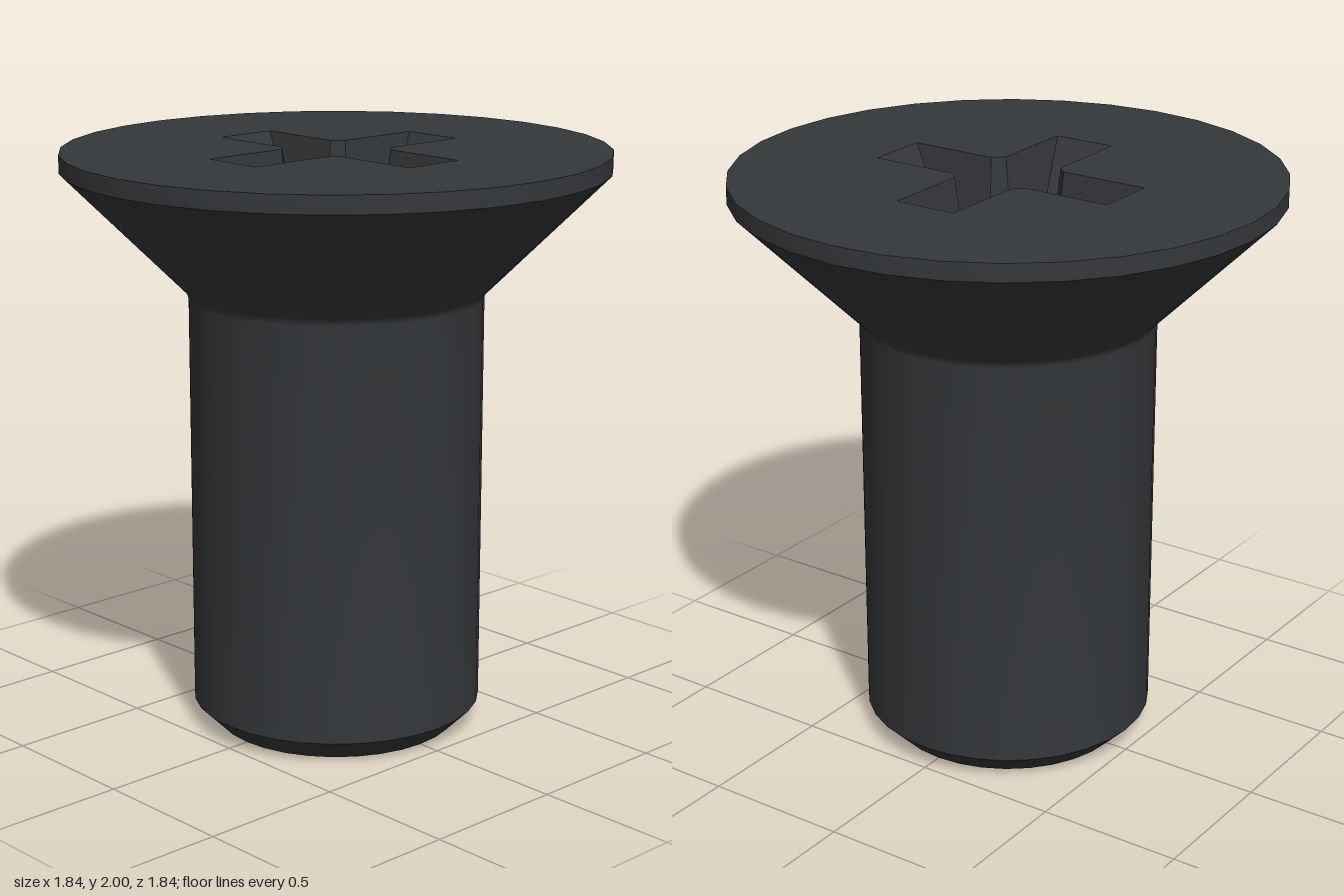
import * as THREE from 'three';
import { toCreasedNormals } from 'three/addons/utils/BufferGeometryUtils.js';

const SIDES = 32, HEAD_R = 0.92, TOP = 2, DEPTH = 0.35;

// Cross outline, counter-clockwise: four arms with chamfered inner corners
function crossOutline(inner, length, halfWidth) {
  const points = [];
  for (let i = 0; i < 4; i++) {
    const arm = [[inner, -halfWidth], [length, -halfWidth], [length, halfWidth], [inner, halfWidth]];
    for (const [x, y] of arm) {
      points.push(new THREE.Vector2(x, y).rotateAround(new THREE.Vector2(), i * Math.PI / 2));
    }
  }
  return points;
}

function circleOutline(radius, sides) {
  return Array.from({ length: sides }, (_, i) => {
    const a = i / sides * Math.PI * 2;
    return new THREE.Vector2(radius * Math.cos(a), radius * Math.sin(a));
  });
}

// Flat, upward-facing surface with one hole
function flatFace(outline, hole, y) {
  const shape = new THREE.Shape(outline);
  shape.holes.push(new THREE.Path(hole));
  return new THREE.ShapeGeometry(shape).rotateX(-Math.PI / 2).translate(0, y, 0);
}

// Sloping walls joining two outlines, facing inwards
function recessWalls(upper, lower, yTop, yBottom) {
  const positions = [];
  upper.forEach((a, i) => {
    const j = (i + 1) % upper.length;
    const b = upper[j], c = lower[j], d = lower[i];
    const A = [a.x, yTop, -a.y], B = [b.x, yTop, -b.y];
    const C = [c.x, yBottom, -c.y], D = [d.x, yBottom, -d.y];
    positions.push(...A, ...B, ...C, ...A, ...C, ...D);
  });
  const geometry = new THREE.BufferGeometry();
  geometry.setAttribute('position', new THREE.Float32BufferAttribute(positions, 3));
  geometry.computeVertexNormals();
  return geometry;
}

export function createModel() {
  const group = new THREE.Group();
  group.name = 'countersunkScrew';
  const material = new THREE.MeshStandardMaterial({ color: 0x35383b });
  const add = (name, geometry) => {
    const mesh = new THREE.Mesh(geometry, material);
    mesh.name = name;
    group.add(mesh);
  };

  // Chamfered shank blending through a small fillet into the conical head
  const profile = [
    [0, 0], [0.42, 0], [0.5, 0.08], [0.5, 1.505], [0.503, 1.519], [0.511, 1.531],
    [HEAD_R, 1.94], [HEAD_R, TOP],
  ].map(([r, y]) => new THREE.Vector2(r, y));
  add('shankAndHead', toCreasedNormals(new THREE.LatheGeometry(profile, SIDES), 0.5));

  // Head top with the cross-shaped opening
  const rim = crossOutline(0.145, 0.455, 0.11);
  const base = crossOutline(0.13, 0.27, 0.07);
  add('headTop', flatFace(circleOutline(HEAD_R, SIDES), rim, TOP));

  // Drive recess: walls, floor and shallow conical pit
  const floorY = TOP - DEPTH;
  add('recessWalls', recessWalls(rim, base, TOP, floorY));
  add('recessFloor', flatFace(base, circleOutline(0.14, SIDES), floorY));
  const pit = [new THREE.Vector2(0, floorY - 0.04), new THREE.Vector2(0.14, floorY)];
  // Reversed profile so the pit faces upwards
  add('recessPit', new THREE.LatheGeometry(pit.reverse(), SIDES));

  return group;
}
